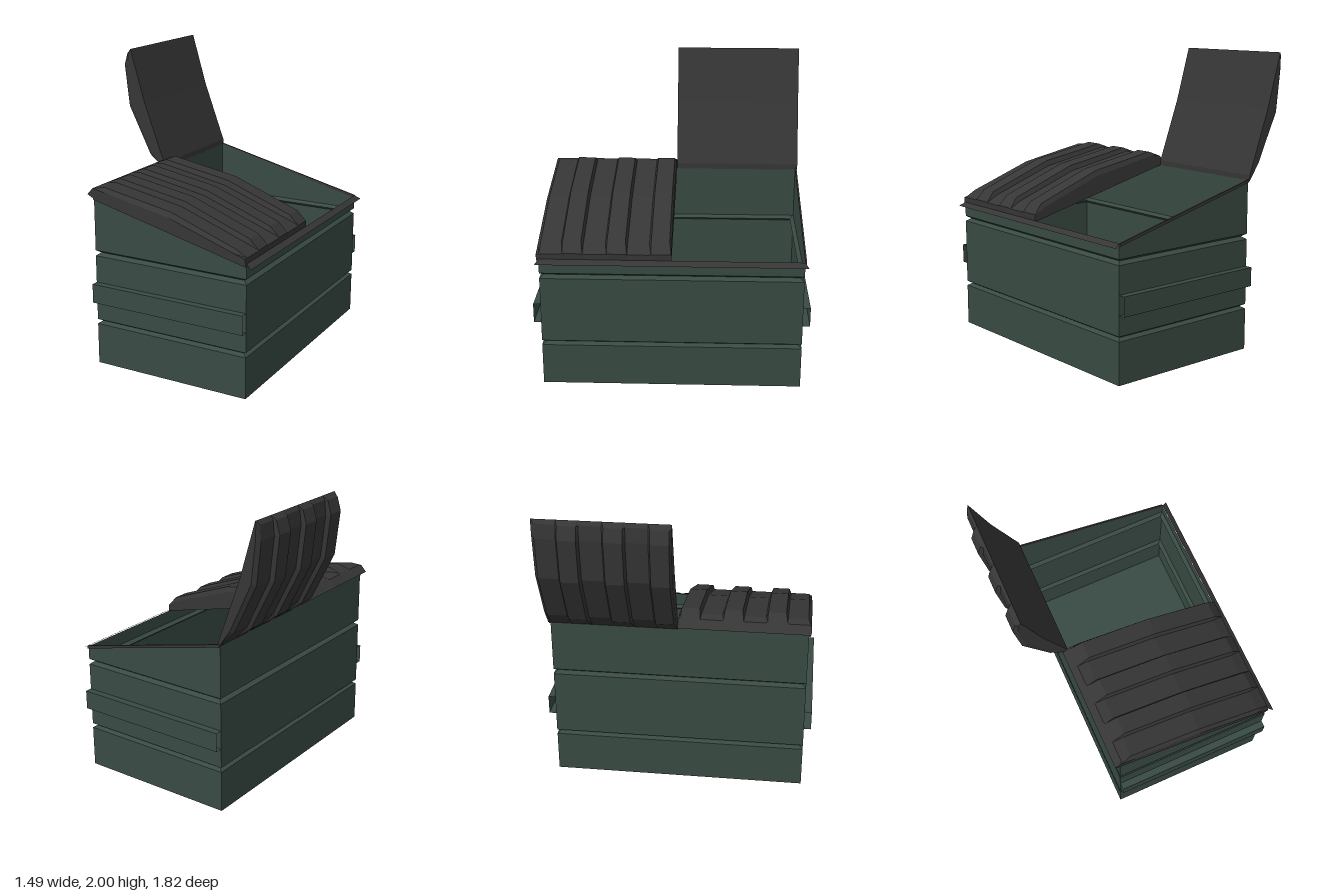
import * as THREE from 'three';

const green = new THREE.MeshStandardMaterial({ color: 0x394a43, side: THREE.DoubleSide });
green.name = 'dark green steel';
const grey = new THREE.MeshStandardMaterial({ color: 0x373636, side: THREE.DoubleSide });
grey.name = 'charcoal plastic';

// Flat-faced skin through rings of [x, y, z] points
function loft(rings, { closed = true, caps = false } = {}) {
  const out = [];
  const n = rings[0].length;
  for (let i = 0; i < rings.length - 1; i++) {
    for (let k = 0; k < (closed ? n : n - 1); k++) {
      const a = rings[i][k], b = rings[i][(k + 1) % n];
      const c = rings[i + 1][(k + 1) % n], d = rings[i + 1][k];
      out.push(...a, ...b, ...c, ...a, ...c, ...d);
    }
  }
  if (caps) {
    const flat = rings[0].map(([x, y]) => new THREE.Vector2(x, y));
    for (const [a, b, c] of THREE.ShapeUtils.triangulateShape(flat, [])) {
      const first = rings[0], last = rings[rings.length - 1];
      out.push(...first[a], ...first[c], ...first[b], ...last[a], ...last[b], ...last[c]);
    }
  }
  const geo = new THREE.BufferGeometry();
  geo.setAttribute('position', new THREE.Float32BufferAttribute(out, 3));
  geo.computeVertexNormals();
  return geo;
}

const BACK = -0.42, FRONT = 0.7, HALF = 0.862;
const rimY = (x) => 1.165 - (x - BACK) * 0.241;

// Rectangular body section, inset by d
function section(y, d = 0) {
  const b = BACK + d, f = FRONT - d, w = HALF - d;
  return [[b, w], [f, w], [f, -w], [b, -w]].map(([x, z]) => [x, y ?? rimY(x), z]);
}

// Ribbed lid: profile = underside points + outer points (valley and rib versions)
function lidGeometry(under, valley, rib, side) {
  const ring = (z, h) => [
    ...under.map(([x, y]) => [x, y, z]),
    ...valley.map(([x, y], i) => [x + h * (rib[i][0] - x), y + h * (rib[i][1] - y), z]),
  ];
  const stations = [[0, 0]];
  for (const start of [0, 0.287, 0.575]) {
    const end = start + 0.145;
    if (start) stations.push([start, 0]);
    stations.push([start + 0.013, 1], [end - 0.013, 1], [end, 0]);
  }
  stations.push([0.855, 0], [0.877, -0.9]);
  if (side < 0) stations.reverse();
  return loft(stations.map(([z, h]) => ring(z * side, h)), { caps: true });
}

export function createModel() {
  const group = new THREE.Group();
  const add = (name, geo, mat) => {
    const mesh = new THREE.Mesh(geo, mat);
    mesh.name = name;
    group.add(mesh);
    return mesh;
  };

  // Open-topped shell with two pressed-in grooves
  add('body', loft([
    section(0), section(0.283), section(0.3, 0.027), section(0.316),
    section(0.765), section(0.785, 0.027), section(0.803), section(null),
  ]), green);
  const floor = new THREE.PlaneGeometry(FRONT - BACK, HALF * 2).rotateX(Math.PI / 2);
  add('floor', floor.translate((FRONT + BACK) / 2, 0, 0), green);

  // Lifting sleeves, open at both ends, and sloping side rims
  for (const s of [1, -1]) {
    const name = s > 0 ? 'front' : 'rear';
    const sleeve = (x) => [[x, 0.45, s * HALF], [x, 0.45, s * 0.91], [x, 0.58, s * 0.91], [x, 0.58, s * HALF]];
    const ends = s > 0 ? [BACK, FRONT] : [FRONT, BACK];
    add(name + 'LiftingSleeve', loft(ends.map(sleeve), { closed: false }), green);

    const edge = (z) => [
      [BACK, rimY(BACK) - 0.012, z], [FRONT, rimY(FRONT) - 0.012, z],
      [FRONT, rimY(FRONT) + 0.008, z], [BACK, rimY(BACK) + 0.008, z],
    ];
    const zs = [s * HALF, s * (HALF + 0.01)].sort((a, b) => a - b);
    add(name + 'Rim', loft(zs.map(edge), { caps: true }), grey);
  }

  // Drip lip flaring out below the opening
  add('dripLip', loft([
    [[FRONT, 0.903, HALF], [FRONT, 0.903, -HALF]],
    [[0.74, 0.878, 0.885], [0.74, 0.878, -0.885]],
  ], { closed: false }), grey);

  // Closed lid
  add('closedLid', lidGeometry(
    [[-0.42, 1.165], [0.7, 0.895]],
    [[0.7, 0.94], [0.62, 0.985], [0.16, 1.15], [-0.34, 1.242], [-0.41, 1.235], [-0.46, 1.185]],
    [[0.703, 0.945], [0.64, 1.01], [0.17, 1.185], [-0.32, 1.27], [-0.4, 1.24], [-0.46, 1.185]],
    1), grey);

  // Open lid, swung up past its hinge
  add('openLid', lidGeometry(
    [[-0.42, 1.16], [-0.42, 1.2], [-0.58, 1.63], [-0.69, 2]],
    [[-0.708, 1.975], [-0.718, 1.88], [-0.686, 1.6], [-0.522, 1.265]],
    [[-0.722, 1.972], [-0.748, 1.885], [-0.713, 1.59], [-0.542, 1.25]],
    -1), grey);

  return group;
}
